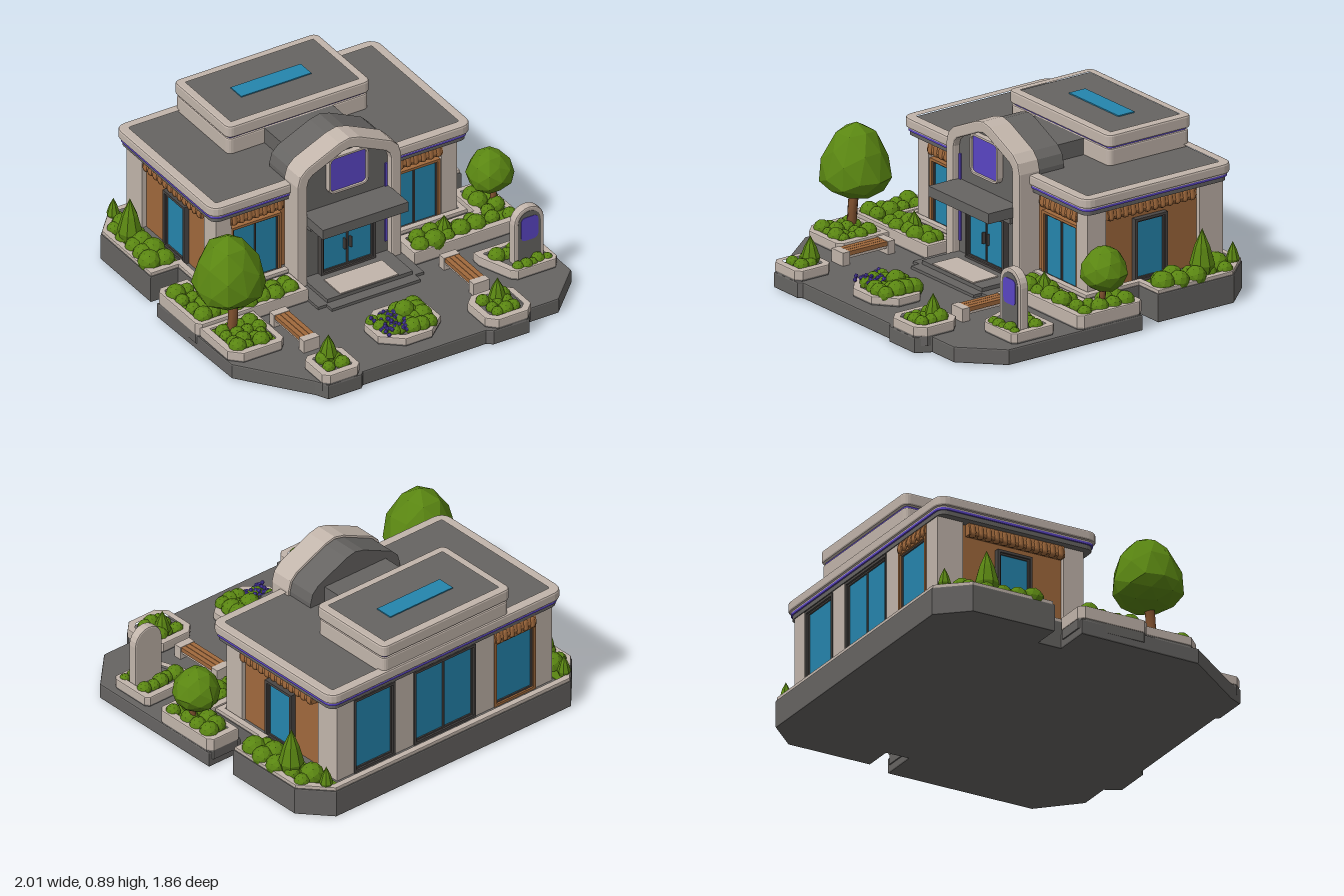
import * as THREE from 'three';

const mat = (name, color) => Object.assign(new THREE.MeshStandardMaterial({ color }), { name });
const stone = mat('pale stone', 0xc2b5ab), slate = mat('slate grey', 0x666462), dark = mat('dark frame', 0x4a4644);
const glass = mat('blue glass', 0x2585ad), wood = mat('warm wood', 0xa0693c), bark = mat('bark', 0x80512f);
const leaf = mat('leaf green', 0x5a8612), violet = mat('violet', 0x5a45c4);

let seed = 7;
const rnd = () => (seed = (seed * 16807) % 2147483647) / 2147483647;

function add(parent, name, geo, material, x = 0, y = 0, z = 0) {
  const m = new THREE.Mesh(geo, material);
  m.name = name;
  m.position.set(x, y, z);
  parent.add(m);
  return m;
}
// box given by its limits
const box = (p, name, m, x0, x1, y0, y1, z0, z1) =>
  add(p, name, new THREE.BoxGeometry(x1 - x0, y1 - y0, z1 - z0), m, (x0 + x1) / 2, (y0 + y1) / 2, (z0 + z1) / 2);
function group(parent, name, x = 0, y = 0, z = 0, ry = 0) {
  const g = new THREE.Group();
  g.name = name;
  g.position.set(x, y, z);
  g.rotation.y = ry;
  parent.add(g);
  return g;
}
const rect = (x0, x1, y0, y1) => [[x0, y0], [x1, y0], [x1, y1], [x0, y1]];
// rounded rectangle outline; n = 1 gives a chamfer
function roundRect(x0, x1, y0, y1, r, n = 4) {
  const pts = [];
  [[x1 - r, y1 - r], [x0 + r, y1 - r], [x0 + r, y0 + r], [x1 - r, y0 + r]].forEach(([cx, cy], q) => {
    for (let i = 0; i <= n; i++) {
      const a = (q + i / n) * Math.PI / 2;
      pts.push([cx + r * Math.cos(a), cy + r * Math.sin(a)]);
    }
  });
  return pts;
}
// mitred inward offset of an outline
function inset(p, d) {
  const n = p.length;
  const area = p.reduce((s, a, i) => { const b = p[(i + 1) % n]; return s + a[0] * b[1] - b[0] * a[1]; }, 0);
  const normal = (a, b) => { const l = Math.hypot(b[0] - a[0], b[1] - a[1]); return [-(b[1] - a[1]) / l, (b[0] - a[0]) / l]; };
  return p.map((b, i) => {
    const u = normal(p[(i + n - 1) % n], b), v = normal(b, p[(i + 1) % n]);
    const k = d * Math.sign(area) / (1 + u[0] * v[0] + u[1] * v[1]);
    return [b[0] + (u[0] + v[0]) * k, b[1] + (u[1] + v[1]) * k];
  });
}
function extrude(pts, depth, hole, bevel = 0) {
  const s = new THREE.Shape(pts.map(p => new THREE.Vector2(...p)));
  if (hole) s.holes.push(new THREE.Path(hole.map(p => new THREE.Vector2(...p))));
  const g = new THREE.ExtrudeGeometry(s, {
    depth: depth - 2 * bevel, bevelEnabled: bevel > 0, bevelSize: bevel, bevelThickness: bevel, bevelOffset: -bevel, bevelSegments: 2,
  });
  return g.translate(0, 0, bevel);
}
// horizontal slab from an [x, z] outline
function slab(p, name, m, pts, y0, y1, hole, bevel = 0) {
  const flip = q => q && q.map(([x, z]) => [x, -z]);
  return add(p, name, extrude(flip(pts), y1 - y0, flip(hole), bevel).rotateX(-Math.PI / 2), m, 0, y0, 0);
}
// faceted plant shapes
const faceted = g => { const f = g.index ? g.toNonIndexed() : g; f.computeVertexNormals(); return f; };
const bushGeo = faceted(new THREE.IcosahedronGeometry(1, 1));
const coneGeo = faceted(new THREE.LatheGeometry([[0, 0], [0.8, 0.06], [1, 0.25], [0.62, 0.62], [0, 1]].map(q => new THREE.Vector2(...q)), 8));
const bush = (p, x, y, z, r) => add(p, 'bush', bushGeo, leaf, x, y, z).scale.setScalar(r);
const cone = (p, x, y, z, r, h) => add(p, 'pointedShrub', coneGeo, leaf, x, y, z).scale.set(r, h, r);
// bushes on a jittered grid inside a rectangle
function hedge(p, x0, x1, z0, z1, nx, nz, y, r) {
  for (let i = 0; i < nx; i++) for (let j = 0; j < nz; j++) {
    const s = r * (0.75 + 0.5 * rnd());
    bush(p, x0 + (x1 - x0) * (i + 0.3 + 0.4 * rnd()) / nx, y + s * 0.4, z0 + (z1 - z0) * (j + 0.3 + 0.4 * rnd()) / nz, s);
  }
}
function planter(p, name, pts, y1, soil = slate, rim = 0.03) {
  const g = group(p, name), inner = inset(pts, rim);
  slab(g, 'planterFoot', slate, inset(pts, 0.003), 0.04, 0.092, inner);
  slab(g, 'planterRim', stone, pts, 0.09, y1, inner, 0.006);
  slab(g, 'planterSoil', soil, inner, 0.06, y1 - 0.015);
  return g;
}
function tree(p, x, z, y0, cy, r, up, down, lean) {
  const g = group(p, 'tree');
  const path = new THREE.CatmullRomCurve3([[x, y0, z + lean], [x + 0.012, (y0 + cy) / 2, z + lean], [x, cy, z]].map(q => new THREE.Vector3(...q)));
  add(g, 'trunk', new THREE.TubeGeometry(path, 6, r * 0.14, 7), bark);
  const geo = new THREE.IcosahedronGeometry(1, 1), a = geo.attributes.position;
  for (let i = 0; i < a.count; i++) {
    const [px, py, pz] = [a.getX(i), a.getY(i), a.getZ(i)];
    const k = (1.02 + 0.06 * Math.sin(px * 7 + py * 5) * Math.cos(pz * 6 - py * 4)) * (py > 0 ? 1 - 0.14 * py : 1);
    a.setXYZ(i, px * r * k, py * (py > 0 ? up : down), pz * r * k);
  }
  add(g, 'canopy', faceted(geo), leaf, x, cy, z);
}
// framed glazing facing local +z, standing on local y = 0
function glazing(p, name, w, h, panes, x, y, z, ry, frameMat = wood) {
  const g = group(p, name, x, y, z, ry), o = rect(-w / 2, w / 2, 0, h);
  add(g, 'outerFrame', extrude(o, 0.03, inset(o, 0.014)), frameMat);
  add(g, 'innerFrame', extrude(inset(o, 0.014), 0.02, inset(o, 0.022)), dark);
  box(g, 'glass', glass, -w / 2 + 0.015, w / 2 - 0.015, 0.015, h - 0.015, 0.003, 0.012);
  for (let i = 1; i < panes; i++) {
    const c = -w / 2 + w * i / panes;
    box(g, 'mullion', dark, c - 0.004, c + 0.004, 0.015, h - 0.015, 0, 0.02);
  }
}
// flared wooden valance with a softly scalloped lower edge
function valance(p, w, x, y, z, ry, h = 0.085) {
  const g = group(p, 'valance', x, y, z, ry), n = Math.round(w / 0.045), s = w / n;
  const profile = [[0, 0.012], [0.038, 0.012], [0.042, 0.03], [0.03, h], [0, h]];
  add(g, 'valanceBoard', extrude(profile, w).rotateY(-Math.PI / 2), wood, w / 2, 0, 0);
  for (let i = 0; i < n; i++) {
    const slat = add(g, 'valanceSlat', new THREE.CapsuleGeometry(s * 0.5, h * 0.35, 2, 6), wood, -w / 2 + s * (i + 0.5), h * 0.45, 0.026);
    slat.rotation.x = -0.15;
  }
}

export function createModel() {
  const model = new THREE.Group();
  model.name = 'pavilion';

  // ground slabs
  slab(model, 'patio', slate, [[-0.955, -0.18], [0.955, -0.18], [0.955, 0.65], [0.76, 0.845], [0.58, 0.845], [0.54, 0.925], [0.33, 0.925],
    [0.3, 0.9], [-0.42, 0.9], [-0.44, 0.92], [-0.635, 0.92], [-0.67, 0.85], [-0.94, 0.5]], 0, 0.085, null, 0.008);
  const found = [[-0.75, 0.02], [-0.75, -0.31], [-0.91, -0.31], [-0.91, -0.78], [-0.77, -0.935], [0.77, -0.935], [0.91, -0.78], [0.91, -0.31], [0.75, -0.31], [0.75, 0.02]];
  slab(model, 'foundation', slate, found, 0, 0.15, null, 0.006);
  slab(model, 'foundationCap', stone, inset(found, 0.006), 0.145, 0.168, inset(found, 0.035), 0.004);

  // entrance steps
  box(model, 'lowerStep', slate, -0.31, 0.31, 0.05, 0.1, 0, 0.3);
  box(model, 'frontStep', slate, -0.26, 0.26, 0.05, 0.1, 0.3, 0.35);
  box(model, 'upperStep', slate, -0.25, 0.25, 0.1, 0.12, 0, 0.29);
  box(model, 'doorstep', stone, -0.17, 0.17, 0.12, 0.126, 0.13, 0.285);

  // walls and pillars
  box(model, 'walls', wood, -0.68, 0.68, 0.1, 0.6, -0.84, -0.06);
  for (const s of [-1, 1]) {
    const pillar = (x, w, z0, z1) => box(model, 'pillar', stone, s * x - w / 2, s * x + w / 2, 0.1, 0.595, z0, z1);
    pillar(0.66, 0.09, -0.14, -0.025);
    pillar(0.65, 0.11, -0.865, -0.72);
    pillar(0.265, 0.125, -0.865, -0.8);
    // windows
    glazing(model, 'frontWindow', 0.295, 0.355, 2, s * 0.465, 0.13, -0.06, 0);
    valance(model, 0.31, s * 0.465, 0.5, -0.06, 0);
    glazing(model, 'sideDoor', 0.2, 0.335, 1, s * 0.68, 0.15, -0.42, s * Math.PI / 2, dark);
    valance(model, 0.55, s * 0.68, 0.51, -0.415, s * Math.PI / 2);
  }
  glazing(model, 'rearWideWindow', 0.405, 0.43, 2, 0, 0.15, -0.84, Math.PI, dark);
  glazing(model, 'rearTallWindow', 0.27, 0.43, 1, 0.46, 0.15, -0.84, Math.PI, dark);
  glazing(model, 'rearWindow', 0.27, 0.38, 1, -0.46, 0.15, -0.84, Math.PI);
  valance(model, 0.27, -0.46, 0.52, -0.835, Math.PI, 0.07);

  // main roof with parapet
  const roof = roundRect(-0.765, 0.765, -0.89, 0.035, 0.06);
  slab(model, 'eaves', slate, inset(roof, 0.02), 0.585, 0.608);
  slab(model, 'roofStripe', violet, inset(roof, 0.012), 0.608, 0.62);
  slab(model, 'roofSoffit', stone, inset(roof, 0.012), 0.62, 0.64);
  slab(model, 'roofDeck', slate, inset(roof, 0.03), 0.63, 0.665);
  slab(model, 'parapet', stone, roof, 0.626, 0.68, inset(roof, 0.042), 0.01);

  // upper roof block with skylight
  const upper = roundRect(-0.42, 0.42, -0.888, -0.37, 0.035);
  slab(model, 'upperBase', stone, inset(upper, 0.008), 0.66, 0.753, null, 0.008);
  slab(model, 'upperStripe', violet, inset(upper, 0.018), 0.753, 0.768);
  slab(model, 'upperDeck', slate, inset(upper, 0.03), 0.768, 0.82);
  slab(model, 'upperParapet', stone, upper, 0.763, 0.83, inset(upper, 0.035), 0.01);
  box(model, 'skylight', glass, -0.205, 0.205, 0.818, 0.826, -0.69, -0.59);
  box(model, 'roofDuct', slate, -0.2, 0.2, 0.66, 0.752, -0.38, -0.17);

  // arched entrance portal
  const arch = y => [[-0.305, y], [0.305, y], [0.305, 0.69], [0.29, 0.745], [0.25, 0.785], [0.06, 0.873], [0, 0.887], [-0.06, 0.873], [-0.25, 0.785], [-0.29, 0.745], [-0.305, 0.69]];
  const opening = inset(arch(0.05), 0.06);
  add(model, 'portalArch', extrude(arch(0.085), 0.13, opening, 0.008), stone, 0, 0, -0.03);
  add(model, 'portalPanel', extrude(opening, 0.09), slate, 0, 0, -0.03);
  add(model, 'portalRoof', extrude(inset(arch(0.6), 0.012), 0.18), slate, 0, 0, -0.185);
  glazing(model, 'entranceDoors', 0.32, 0.29, 2, 0, 0.118, 0.06, 0, dark);
  box(model, 'canopy', slate, -0.25, 0.25, 0.45, 0.505, 0.05, 0.25);
  box(model, 'canopyLintel', slate, -0.23, 0.23, 0.41, 0.45, 0.05, 0.1);
  for (const s of [-1, 1]) {
    box(model, 'portalStripe', violet, s * 0.235 - 0.006, s * 0.235 + 0.006, 0.18, 0.64, 0.06, 0.068);
    box(model, 'doorHandle', dark, s * 0.018 - 0.004, s * 0.018 + 0.004, 0.23, 0.29, 0.07, 0.09);
  }
  const plate = roundRect(-0.117, 0.117, 0.58, 0.797, 0.035);
  add(model, 'signFrame', extrude(plate, 0.035, inset(plate, 0.013), 0.004), stone, 0, 0, 0.06);
  add(model, 'signPlate', extrude(inset(plate, 0.012), 0.008), violet, 0, 0, 0.075);

  // side beds behind, and L-shaped beds beside the entrance
  for (const s of [-1, 1]) {
    const strip = [[0.72, -0.34], [0.88, -0.34], [0.88, -0.77], [0.76, -0.9], [0.72, -0.9]];
    slab(model, 'sideLawn', leaf, strip.map(([x, z]) => [s * x, z]), 0.14, 0.155);
    hedge(model, s * 0.88, s * 0.76, -0.8, -0.36, 2, 5, 0.15, 0.052);
    cone(model, s * 0.82, 0.15, -0.65, 0.065, 0.25);
    cone(model, s * 0.78, 0.15, -0.87, 0.035, 0.12);
    const L = [[0.31, 0.03], [0.77, 0.03], [0.77, -0.19], [0.93, -0.19], [0.955, -0.16], [0.955, 0.18], [0.93, 0.21], [0.31, 0.21]];
    const bed = planter(model, 'entranceBed', L.map(([x, z]) => [s * x, z]), 0.16, leaf);
    hedge(bed, s * 0.35, s * 0.74, 0.07, 0.18, 5, 2, 0.14, 0.048);
    hedge(bed, s * 0.79, s * 0.93, -0.15, 0.17, 2, 4, 0.14, 0.042);
    cone(bed, s * 0.54, 0.14, 0.12, 0.045, 0.12);
  }
  tree(model, 0.88, 0, 0.14, 0.335, 0.12, 0.135, 0.105, 0.02);

  // patio planters
  const treeBed = planter(model, 'treeBed', [[-0.94, 0.2], [-0.63, 0.2], [-0.63, 0.49], [-0.66, 0.52], [-0.88, 0.52], [-0.94, 0.46]], 0.14, leaf);
  hedge(treeBed, -0.9, -0.66, 0.25, 0.48, 4, 4, 0.12, 0.038);
  tree(model, -0.82, 0.27, 0.12, 0.41, 0.183, 0.27, 0.125, 0.03);
  const leftBed = planter(model, 'leftFrontBed', roundRect(-0.655, -0.435, 0.7, 0.92, 0.03, 1), 0.14);
  hedge(leftBed, -0.61, -0.48, 0.74, 0.87, 2, 2, 0.12, 0.042);
  cone(leftBed, -0.54, 0.12, 0.765, 0.05, 0.15);
  const rightBed = planter(model, 'rightFrontBed', roundRect(0.31, 0.58, 0.66, 0.925, 0.05, 1), 0.14);
  hedge(rightBed, 0.36, 0.53, 0.71, 0.88, 3, 3, 0.12, 0.038);
  cone(rightBed, 0.46, 0.12, 0.75, 0.045, 0.14);
  const signBed = planter(model, 'signBed', [[0.58, 0.33], [0.9, 0.33], [0.92, 0.35], [0.92, 0.57], [0.9, 0.595], [0.68, 0.595], [0.65, 0.57], [0.58, 0.38]], 0.14);
  hedge(signBed, 0.63, 0.89, 0.37, 0.45, 5, 1, 0.12, 0.038);
  hedge(signBed, 0.68, 0.89, 0.53, 0.57, 5, 1, 0.12, 0.03);
  const octagon = Array.from({ length: 8 }, (_, i) => { const a = (i + 0.5) * Math.PI / 4; return [-0.04 + 0.2 * Math.cos(a), 0.66 + 0.17 * Math.sin(a)]; });
  const centre = planter(model, 'flowerBed', octagon, 0.13);
  hedge(centre, -0.06, 0.1, 0.55, 0.77, 3, 4, 0.115, 0.045);
  bush(centre, -0.01, 0.165, 0.63, 0.052);
  hedge(centre, -0.19, -0.07, 0.57, 0.75, 3, 3, 0.115, 0.03);
  for (let i = 0; i < 55; i++) {
    add(centre, 'flower', new THREE.IcosahedronGeometry(0.012, 0), violet, -0.19 + 0.15 * rnd(), 0.135 + 0.025 * rnd(), 0.56 + 0.21 * rnd());
  }

  // standing arched sign
  const marker = [[-0.088, 0.1], [0.088, 0.1]];
  for (let i = 0; i <= 10; i++) marker.push([0.088 * Math.cos(i * Math.PI / 10), 0.352 + 0.088 * Math.sin(i * Math.PI / 10)]);
  add(model, 'markerStone', extrude(marker, 0.05, null, 0.008), stone, 0.79, 0, 0.47);
  add(model, 'markerPanel', extrude(inset(marker, 0.022), 0.004), slate, 0.79, 0, 0.518);
  add(model, 'markerPlate', extrude(roundRect(-0.05, 0.05, 0.25, 0.385, 0.025), 0.005), violet, 0.79, 0, 0.52);

  // benches
  for (const x of [-0.535, 0.46]) {
    const bench = group(model, 'bench', x, 0, 0.44);
    for (const s of [-1, 1]) box(bench, 'benchEnd', stone, -0.047, 0.047, 0.08, 0.155, s * 0.14 - 0.022, s * 0.14 + 0.022);
    for (let i = -1; i <= 1; i++) box(bench, 'benchSlat', wood, i * 0.028 - 0.0128, i * 0.028 + 0.0128, 0.13, 0.153, -0.13, 0.13);
    box(bench, 'benchBeam', stone, -0.035, 0.035, 0.115, 0.13, -0.13, 0.13);
  }
  return model;
}
